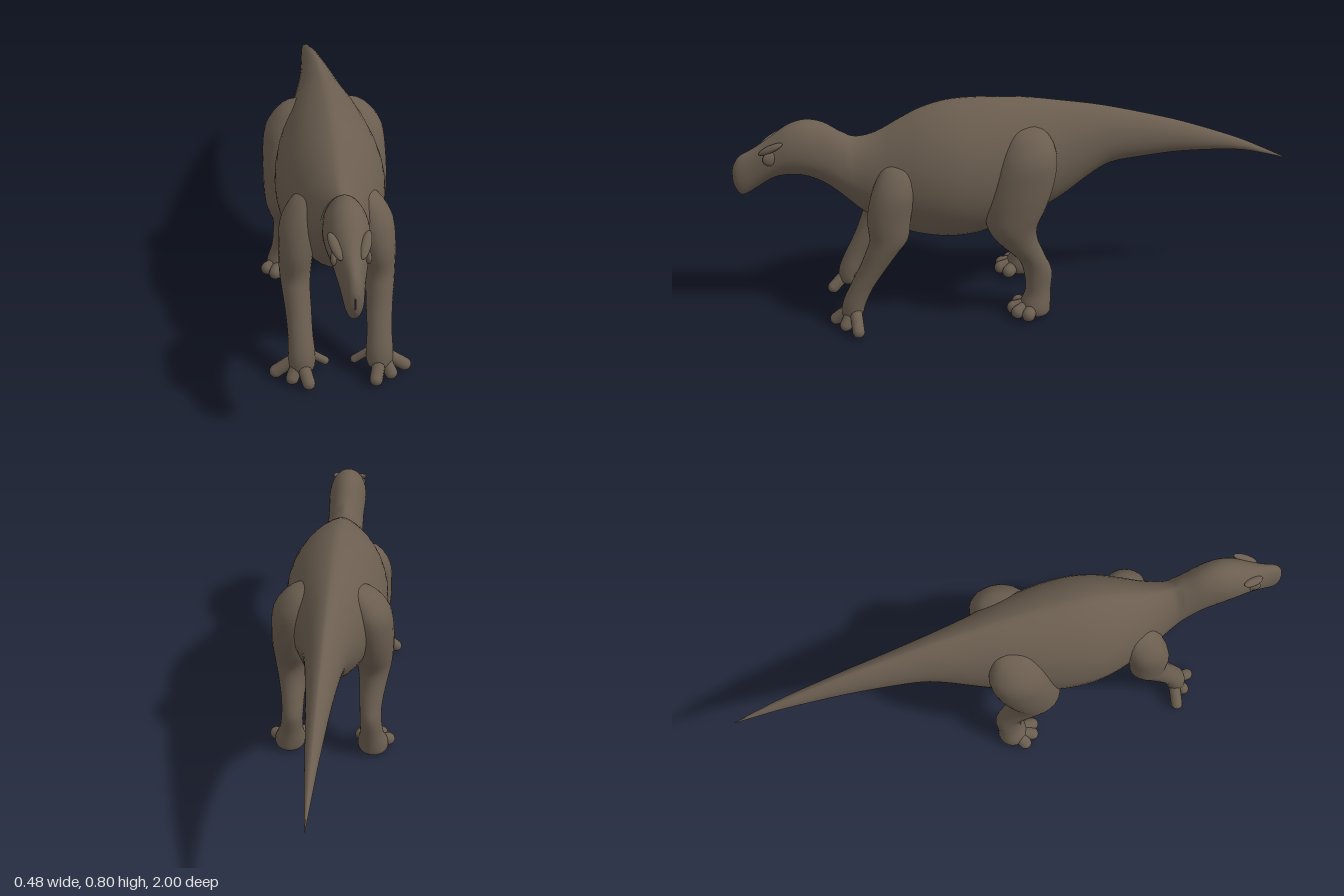
import * as THREE from 'three';

const hide = new THREE.MeshStandardMaterial({ color: 0x6b5e50 });
hide.name = 'brown hide';

// Catmull-Rom smoothing of a table of cross-sections
function smoothRows(rows, steps) {
  const out = [];
  for (let i = 0; i < rows.length - 1; i++) {
    const p = [rows[Math.max(i - 1, 0)], rows[i], rows[i + 1], rows[Math.min(i + 2, rows.length - 1)]];
    for (let k = 0; k < steps; k++) {
      const t = k / steps;
      out.push(p[1].map((b, c) => {
        const a = p[0][c], d = p[2][c], e = p[3][c];
        return b + 0.5 * t * (d - a + t * (2 * a - 5 * b + 4 * d - e + t * (3 * (b - d) + e - a)));
      }));
    }
  }
  out.push(rows[rows.length - 1]);
  return out;
}

// Skin closed rings: point(row, angle) gives [x, y, z]
function loft(name, rows, sides, point) {
  const pos = [], index = [];
  rows.forEach((row, i) => {
    for (let j = 0; j < sides; j++) {
      pos.push(...point(row, (j / sides) * Math.PI * 2));
      if (i === rows.length - 1) continue;
      const a = i * sides + j, b = i * sides + (j + 1) % sides;
      index.push(a, a + sides, b, b, a + sides, b + sides);
    }
  });
  const g = new THREE.BufferGeometry();
  g.setAttribute('position', new THREE.Float32BufferAttribute(pos, 3));
  g.setIndex(index);
  g.computeVertexNormals();
  const mesh = new THREE.Mesh(g, hide);
  mesh.name = name;
  return mesh;
}

// Limb from horizontal rings [x, y, z, radiusX, radiusZ], mirrored by side
function limb(name, rows, side) {
  return loft(name, smoothRows(rows, 4), 24, ([x, y, z, rx, rz], t) => [
    side * x + Math.max(rx, 0.001) * Math.cos(t), Math.max(y, 0.005), z - Math.max(rz, 0.001) * Math.sin(t)]);
}

// Rounded toe running from the ankle to its tip
function toe(name, from, to, radius, side) {
  const a = new THREE.Vector3(side * from[0], from[1], from[2]);
  const b = new THREE.Vector3(side * to[0], to[1], to[2]);
  const dir = b.clone().sub(a);
  const mesh = new THREE.Mesh(new THREE.CapsuleGeometry(radius, dir.length(), 6, 12), hide);
  mesh.position.copy(a).add(b).multiplyScalar(0.5);
  mesh.quaternion.setFromUnitVectors(new THREE.Vector3(0, 1, 0), dir.normalize());
  mesh.name = name;
  return mesh;
}

function ellipsoid(name, position, scale, rotation) {
  const mesh = new THREE.Mesh(new THREE.SphereGeometry(1, 20, 14), hide);
  mesh.position.set(...position);
  mesh.scale.set(...scale);
  mesh.rotation.set(...rotation);
  mesh.name = name;
  return mesh;
}

// Head, trunk and tail: [z, top, bottom, half width]
const trunk = [
  [1.0, 0.585, 0.545, 0.002], [0.992, 0.61, 0.52, 0.02], [0.97, 0.64, 0.495, 0.03],
  [0.92, 0.665, 0.52, 0.039], [0.86, 0.703, 0.555, 0.054], [0.80, 0.742, 0.563, 0.068],
  [0.74, 0.757, 0.55, 0.072], [0.68, 0.743, 0.515, 0.069], [0.62, 0.703, 0.46, 0.07],
  [0.57, 0.684, 0.41, 0.082], [0.50, 0.697, 0.355, 0.112], [0.42, 0.738, 0.32, 0.145],
  [0.34, 0.775, 0.297, 0.172], [0.25, 0.797, 0.285, 0.187], [0.15, 0.80, 0.293, 0.184],
  [0.05, 0.795, 0.325, 0.166], [-0.05, 0.785, 0.355, 0.142], [-0.15, 0.768, 0.405, 0.112],
  [-0.25, 0.75, 0.475, 0.085], [-0.33, 0.732, 0.518, 0.068], [-0.45, 0.70, 0.532, 0.052],
  [-0.6, 0.655, 0.54, 0.037], [-0.8, 0.58, 0.53, 0.02], [-0.92, 0.523, 0.503, 0.009],
  [-1.0, 0.482, 0.478, 0.001]];

const hindRows = [
  [0.09, 0.715, -0.02, 0.005, 0.02], [0.105, 0.69, -0.02, 0.05, 0.065],
  [0.13, 0.62, -0.012, 0.077, 0.1], [0.14, 0.52, 0.012, 0.08, 0.112],
  [0.145, 0.43, 0.035, 0.076, 0.106], [0.15, 0.36, 0.048, 0.066, 0.088],
  [0.15, 0.30, 0.025, 0.053, 0.07], [0.145, 0.23, -0.022, 0.043, 0.051],
  [0.145, 0.17, -0.045, 0.04, 0.051], [0.15, 0.10, -0.045, 0.043, 0.046],
  [0.155, 0.05, -0.035, 0.056, 0.055], [0.157, 0.02, -0.035, 0.054, 0.053],
  [0.157, 0.006, -0.035, 0.035, 0.035], [0.157, 0.005, -0.035, 0.001, 0.001]];

const foreRows = [
  [0.08, 0.62, 0.43, 0.005, 0.02], [0.10, 0.59, 0.44, 0.045, 0.055],
  [0.12, 0.52, 0.458, 0.066, 0.075], [0.135, 0.43, 0.478, 0.059, 0.076],
  [0.14, 0.35, 0.483, 0.053, 0.068], [0.14, 0.30, 0.508, 0.048, 0.058],
  [0.135, 0.23, 0.547, 0.044, 0.048], [0.132, 0.16, 0.588, 0.042, 0.043],
  [0.13, 0.10, 0.615, 0.045, 0.042], [0.13, 0.05, 0.625, 0.04, 0.035],
  [0.13, 0.025, 0.625, 0.002, 0.002]];

const hindToes = [[0.213, 0.029, 0.0], [0.185, 0.029, 0.035], [0.148, 0.029, 0.045], [0.11, 0.029, 0.02]];
const foreToes = [[0.217, 0.027, 0.61], [0.165, 0.027, 0.652], [0.112, 0.027, 0.684]];

export function createModel() {
  const model = new THREE.Group();
  model.name = 'dinosaur';

  // Body with a peaked back and a rounded belly
  model.add(loft('body', smoothRows(trunk, 4), 40, ([z, top, bottom, w], t) => {
    const mid = bottom + (top - bottom) * 0.45;
    const c = Math.cos(t), s = Math.sin(t);
    const peak = s > 0 && z < 0.6 ? 1.3 : 1;
    return [Math.max(w, 0.001) * Math.sign(c) * Math.abs(c) ** peak,
      mid + s * (s > 0 ? top - mid : mid - bottom), z];
  }));

  for (const [label, side] of [['left', 1], ['right', -1]]) {
    // Hind leg and foot
    const hind = new THREE.Group();
    hind.name = label + 'HindLeg';
    hind.add(limb('hindLimb', hindRows, side));
    hindToes.forEach((tip) => hind.add(toe('hindToe', [0.155, 0.045, -0.03], tip, 0.024, side)));
    model.add(hind);

    // Foreleg, splayed toes and inner thumb
    const fore = new THREE.Group();
    fore.name = label + 'Foreleg';
    fore.add(limb('foreLimb', foreRows, side));
    foreToes.forEach((tip) => fore.add(toe('foreToe', [0.135, 0.09, 0.615], tip, 0.022, side)));
    fore.add(toe('thumb', [0.12, 0.1, 0.6], [0.05, 0.04, 0.585], 0.014, side));
    model.add(fore);

    // Eye and brow ridge
    model.add(ellipsoid(label + 'Eye', [side * 0.048, 0.642, 0.865], [0.012, 0.025, 0.027], [0, side * 0.25, 0]));
    model.add(ellipsoid(label + 'Brow', [side * 0.045, 0.677, 0.862], [0.016, 0.012, 0.05], [0.5, -side * 0.3, 0]));
  }
  return model;
}
